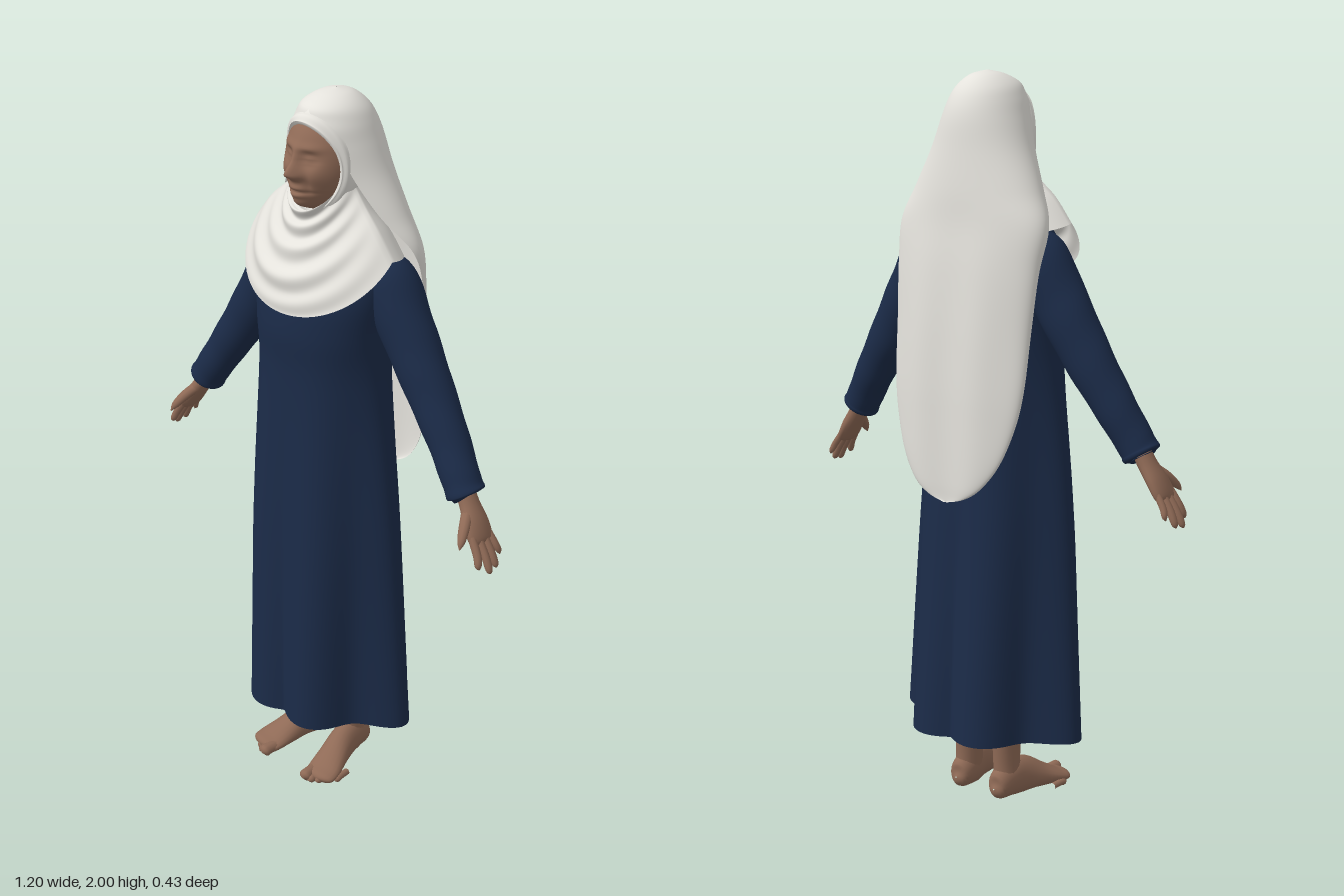
import * as THREE from 'three';

const mat = (name, color, side = THREE.FrontSide) =>
  Object.assign(new THREE.MeshStandardMaterial({ color, side }), { name });

// Catmull-Rom interpolation through rows of numbers, t from 0 to 1
function spline(rows, t) {
  const f = t * (rows.length - 1), i = Math.min(Math.floor(f), rows.length - 2), u = f - i;
  const at = k => rows[Math.max(0, Math.min(rows.length - 1, k))];
  const [a, b, c, d] = [at(i - 1), at(i), at(i + 1), at(i + 2)];
  return b.map((_, k) => b[k] + 0.5 * u * (c[k] - a[k] + u * (2 * a[k] - 5 * b[k] + 4 * c[k] - d[k]
    + u * (3 * (b[k] - c[k]) + d[k] - a[k]))));
}

// Surface from fn(u, v) -> [x, y, z]; closed surfaces join up in u
function surface(nu, nv, closed, fn) {
  const pos = [], idx = [], cols = closed ? nu : nu + 1;
  for (let j = 0; j <= nv; j++)
    for (let i = 0; i < cols; i++) pos.push(...fn(i / nu, j / nv));
  for (let j = 0; j < nv; j++)
    for (let i = 0; i < nu; i++) {
      const k = (i + 1) % cols, a = j * cols + i, b = j * cols + k;
      idx.push(a, b, b + cols, a, b + cols, a + cols);
    }
  const g = new THREE.BufferGeometry();
  g.setAttribute('position', new THREE.Float32BufferAttribute(pos, 3));
  g.setIndex(idx);
  g.computeVertexNormals();
  return g;
}

// Tapered limb through [x, y, z, radius along ref, radius across]; s mirrors x
function limb(pts, s, ref, nu = 16, nv = 24, wrinkle = 0) {
  const center = t => new THREE.Vector3(...spline(pts, t).slice(0, 3)).multiply(new THREE.Vector3(s, 1, 1));
  return surface(nu, nv, true, (u, v) => {
    const c = center(v), r = spline(pts, v), a = u * Math.PI * 2;
    const T = center(Math.min(1, v + 0.01)).sub(center(Math.max(0, v - 0.01))).normalize();
    const A = ref.clone().addScaledVector(T, -ref.dot(T)).normalize();
    const B = T.clone().cross(A);
    const k = 1 + wrinkle * Math.sin(v * 48 + 2 * Math.cos(a));
    c.addScaledVector(A, r[3] * k * Math.cos(a)).addScaledVector(B, r[4] * k * Math.sin(a));
    return [c.x, Math.max(0, c.y), c.z];
  });
}

export function createModel() {
  const model = new THREE.Group();
  const navy = mat('navy cloth', 0x1b2b48, THREE.DoubleSide);
  const white = mat('white cloth', 0xe4e2dc, THREE.DoubleSide);
  const skin = mat('skin', 0x8f6a56);
  const X = new THREE.Vector3(1, 0, 0), Z = new THREE.Vector3(0, 0, 1);
  const add = (name, geo, material, parent = model) => {
    const m = new THREE.Mesh(geo, material);
    m.name = name;
    parent.add(m);
    return m;
  };

  // Robe: y, half width, front z, back z, fold depth
  const robe = [
    [1.66, 0.06, 0.03, -0.07, 0], [1.63, 0.15, 0.07, -0.1, 0], [1.58, 0.195, 0.11, -0.115, 0],
    [1.5, 0.2, 0.165, -0.125, 0], [1.4, 0.193, 0.182, -0.13, 0], [1.3, 0.195, 0.178, -0.135, 0.01],
    [1.2, 0.205, 0.18, -0.138, 0.02], [1, 0.233, 0.188, -0.148, 0.045], [0.8, 0.255, 0.196, -0.163, 0.065],
    [0.6, 0.27, 0.202, -0.178, 0.085], [0.4, 0.284, 0.207, -0.192, 0.105], [0.208, 0.297, 0.211, -0.204, 0.12],
  ];
  add('robe', surface(120, 60, true, (u, v) => {
    const [y, w, zf, zb, fold] = spline(robe, v), a = u * Math.PI * 2, c = Math.cos(a);
    const k = 1 + fold * Math.cos(6 * a);
    const rz = (zf - zb) / 2 / (1 - 0.25 * fold);
    const cx = Math.sign(c) * Math.abs(c) ** (1 + 4 * fold);
    return [w / (1 + fold) * k * cx, y, (zf + zb) / 2 + rz * k * Math.sin(a)];
  }), navy);

  // Cowl: side y, front y, back y, half width, front z, back z
  const cowl = [
    [1.81, 1.712, 1.76, 0.086, 0.112, -0.06], [1.77, 1.67, 1.71, 0.102, 0.113, -0.08],
    [1.73, 1.61, 1.67, 0.135, 0.138, -0.1], [1.68, 1.53, 1.63, 0.188, 0.174, -0.12],
    [1.615, 1.455, 1.58, 0.239, 0.186, -0.13],
  ];
  add('cowl', surface(80, 60, true, (u, v) => {
    const [ys, yf, yb, w, zf, zb] = spline(cowl, v), a = u * Math.PI * 2;
    const s = Math.sin(a), front = Math.max(0, s), mid = (zf + zb) / 2;
    const fold = 0.006 * front * Math.sin(v * 29 + 2.2 * Math.cos(a)) * Math.min(1, 5 * (1 - v));
    return [(w + fold) * Math.cos(a), ys + (s > 0 ? yf - ys : ys - yb) * s + fold * 0.6,
      mid + ((zf - zb) / 2 + fold) * s];
  }), white);

  // Coif framing the face: half width, half height, centre y, side z, top and bottom z
  const coif = [
    [0.107, 0.145, 1.832, -0.03, -0.03], [0.109, 0.142, 1.83, 0.02, 0.045],
    [0.103, 0.13, 1.825, 0.05, 0.088], [0.093, 0.118, 1.821, 0.06, 0.104], [0.086, 0.111, 1.819, 0.052, 0.094],
  ];
  add('coif', surface(64, 24, true, (u, v) => {
    const [w, h, y, zs, zt] = spline(coif, v), a = u * Math.PI * 2, s = Math.sin(a);
    const pleat = 0.002 * Math.sin(v * 26 + 2 * Math.cos(a));
    return [(w + pleat) * Math.cos(a), y + (h + pleat) * s, zs + (zt - zs) * s * s];
  }), white);

  // Veil: y, half width, front edge z, back z, half opening angle
  const veil = [
    [2, 0.002, -0.018, -0.022, 180], [1.99, 0.042, 0.03, -0.065, 180], [1.965, 0.077, 0.078, -0.1, 180],
    [1.93, 0.098, 0.078, -0.125, 150], [1.88, 0.117, 0.06, -0.142, 136], [1.8, 0.147, 0.035, -0.153, 130],
    [1.7, 0.195, -0.005, -0.165, 118], [1.61, 0.235, -0.06, -0.172, 100], [1.5, 0.231, -0.1, -0.185, 90],
    [1.35, 0.222, -0.12, -0.197, 90], [1.2, 0.215, -0.14, -0.204, 90], [1.1, 0.198, -0.155, -0.206, 90],
    [1, 0.162, -0.175, -0.207, 90], [0.93, 0.112, -0.192, -0.207, 90], [0.895, 0.06, -0.2, -0.206, 90],
    [0.88, 0.004, -0.204, -0.206, 90],
  ];
  add('veil', surface(64, 100, false, (u, v) => {
    const [y, w, zf, zb, deg] = spline(veil, v);
    const max = Math.min(180, deg) * Math.PI / 180, a = (2 * u - 1) * max;
    const x = w * Math.sin(a), hang = THREE.MathUtils.smoothstep(1.75 - y, 0, 0.5);
    const fold = 0.006 * hang * Math.cos(x * 31) * Math.max(0, Math.cos(a));
    return [x, y, zb + (zf - zb) * (1 - Math.cos(a)) / (1 - Math.cos(max)) + fold];
  }), white);

  // Head: ellipsoid with features pushed along z as [x, y, amount, spread x, spread y]
  const features = [
    [0, 1.818, 0.028, 0.013, 0.013], [0, 1.845, 0.015, 0.01, 0.022], [0, 1.758, 0.017, 0.032, 0.026],
    [0, 1.727, 0.02, 0.024, 0.014], [0, 1.776, 0.005, 0.02, 0.005], [0, 1.756, 0.005, 0.018, 0.005],
    [0, 1.766, -0.007, 0.027, 0.003],
  ];
  for (const s of [-1, 1]) features.push(
    [s * 0.034, 1.852, -0.015, 0.016, 0.012], [s * 0.034, 1.851, 0.011, 0.011, 0.007],
    [s * 0.034, 1.849, -0.004, 0.014, 0.002], [s * 0.033, 1.88, 0.006, 0.022, 0.007],
    [s * 0.05, 1.81, 0.007, 0.018, 0.018], [s * 0.014, 1.81, 0.01, 0.007, 0.007],
    [s * 0.034, 1.785, -0.005, 0.006, 0.016]);
  const head = new THREE.SphereGeometry(1, 112, 96).scale(0.096, 0.135, 0.106).translate(0, 1.83, 0.02);
  const p = head.attributes.position;
  for (let i = 0; i < p.count; i++) {
    const x = p.getX(i), y = p.getY(i), z = p.getZ(i);
    if (z < 0.03) continue;
    let dz = 0;
    for (const [fx, fy, amt, sx, sy] of features)
      dz += amt * Math.exp(-(((x - fx) / sx) ** 2 + ((y - fy) / sy) ** 2) / 2);
    p.setZ(i, z + dz * Math.min(1, (z - 0.03) / 0.03));
  }
  head.computeVertexNormals();
  add('head', head, skin);

  for (const s of [1, -1]) {
    const side = s > 0 ? 'left' : 'right';
    const arm = new THREE.Group(), leg = new THREE.Group();
    arm.name = side + 'Arm';
    leg.name = side + 'Leg';
    model.add(arm, leg);

    // Sleeve with a turned-in cuff
    add('sleeve', limb([
      [0.13, 1.58, -0.03, 0.03, 0.03], [0.175, 1.535, -0.028, 0.075, 0.07], [0.25, 1.41, -0.025, 0.07, 0.073],
      [0.33, 1.28, -0.02, 0.062, 0.066], [0.41, 1.16, -0.01, 0.055, 0.056], [0.468, 1.07, 0.003, 0.051, 0.051],
      [0.485, 1.043, 0.004, 0.05, 0.05], [0.486, 1.0415, 0.004, 0.02, 0.02],
    ], s, Z, 28, 70, 0.012), navy, arm);

    // Hand
    add('palm', limb([
      [0.46, 1.09, 0.004, 0.027, 0.025], [0.497, 1.025, 0.008, 0.03, 0.023], [0.528, 0.978, 0.014, 0.041, 0.021],
      [0.55, 0.94, 0.018, 0.04, 0.015], [0.556, 0.93, 0.018, 0.01, 0.005],
    ], s, Z), skin, arm);
    const tips = [[0.583, 0.88], [0.597, 0.862], [0.593, 0.867], [0.58, 0.89]];
    tips.forEach(([x, y], k) => {
      const z0 = 0.047 - 0.02 * k, z1 = 0.06 - 0.028 * k, r = k === 3 ? 0.0095 : 0.011;
      add('finger', limb([
        [0.543, 0.955, z0, r, r], [(0.548 + x) / 2 + 0.003, (0.95 + y) / 2, (z0 + z1) / 2, r, r],
        [x - 0.004, y + 0.01, z1, r * 0.85, r * 0.8], [x, y, z1, 0.001, 0.001],
      ], s, Z, 10, 12), skin, arm);
    });
    add('thumb', limb([
      [0.505, 1.01, 0.02, 0.016, 0.016], [0.525, 0.985, 0.055, 0.015, 0.014],
      [0.54, 0.958, 0.084, 0.011, 0.01], [0.546, 0.94, 0.098, 0.001, 0.001],
    ], s, X, 10, 14), skin, arm);

    // Leg and foot
    add('shin', limb([
      [0.085, 0.7, 0, 0.07, 0.065], [0.08, 0.5, -0.01, 0.055, 0.05], [0.072, 0.34, -0.022, 0.054, 0.046],
      [0.068, 0.2, -0.022, 0.047, 0.038], [0.067, 0.1, -0.02, 0.043, 0.035], [0.07, 0.035, -0.018, 0.047, 0.036],
    ], s, Z, 20), skin, leg);
    add('foot', limb([
      [0.068, 0.035, -0.08, 0.002, 0.002], [0.068, 0.035, -0.065, 0.029, 0.035], [0.07, 0.05, -0.02, 0.038, 0.055],
      [0.08, 0.05, 0.03, 0.038, 0.054], [0.094, 0.034, 0.09, 0.045, 0.036], [0.107, 0.021, 0.14, 0.05, 0.022],
      [0.112, 0.016, 0.17, 0.042, 0.016], [0.113, 0.013, 0.178, 0.003, 0.003],
    ], s, X, 20, 36), skin, leg);
    for (let k = 0; k < 5; k++) {
      const x = 0.079 + 0.0175 * k, r = k ? 0.0115 - 0.0005 * k : 0.017, z = 0.203 - 0.0028 * k * k - 0.004 * k;
      add('toe', limb([
        [x, r, z - 0.055, r, r], [x + 0.003, r + 0.002, z - 0.025, r, r],
        [x + 0.004, r, z - 0.008, r, r], [x + 0.005, r * 0.8, z, 0.001, 0.001],
      ], s, X, 10, 12), skin, leg);
    }
  }
  return model;
}
